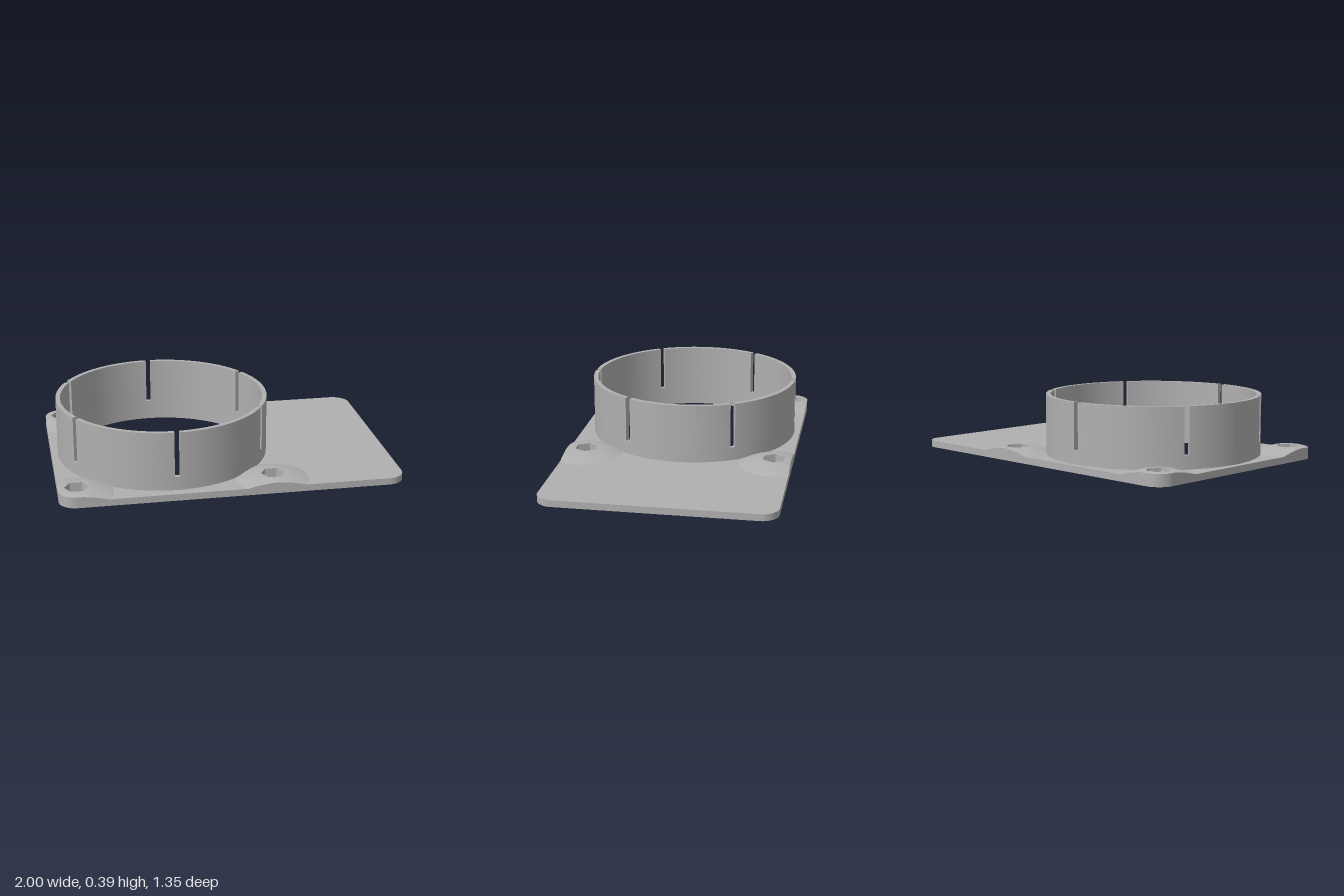
import * as THREE from 'three';
import { toCreasedNormals } from 'three/addons/utils/BufferGeometryUtils.js';

const HALF_X = 1, HALF_Z = 0.677, CORNER = 0.1;
const PLATE_TOP = 0.04, POCKET_FLOOR = 0.018, MOUND_TOP = 0.075;
const RING = { x: -0.33, y: 0.01, inner: 0.612, outer: 0.631, slotBottom: 0.12, top: 0.39 };
RING.inner = 0.604;
const SCREWS = [[-0.895, 0.575], [0.235, 0.575], [-0.895, -0.555], [0.235, -0.555]];
const HEX_R = 0.07, HOLE_R = 0.037, FLAT_R = 0.09, BASE_R = 0.21;

// Shapes are drawn in plan (y = -z) and raised from y0 to y1
function raise(shape, y0, y1, curveSegments = 48) {
  const g = new THREE.ExtrudeGeometry(shape, { depth: y1 - y0, bevelEnabled: false, curveSegments });
  g.rotateX(-Math.PI / 2).translate(0, y0, 0);
  return toCreasedNormals(g, 0.5);
}

function circle(x, y, r) {
  return new THREE.Path().absarc(x, y, r, 0, Math.PI * 2, true);
}

function hexagon(x, y, r) {
  const pts = [];
  for (let i = 0; i < 6; i++) {
    const a = -i * Math.PI / 3;
    pts.push(new THREE.Vector2(x + r * Math.cos(a), y + r * Math.sin(a)));
  }
  return new THREE.Path(pts).closePath();
}

function plateShape(screwHole) {
  const s = new THREE.Shape(), x = HALF_X - CORNER, y = HALF_Z - CORNER, q = Math.PI / 2;
  [[x, y], [-x, y], [-x, -y], [x, -y]].forEach(([cx, cy], i) =>
    s.absarc(cx, cy, CORNER, i * q, (i + 1) * q, false));
  s.closePath();
  s.holes.push(circle(RING.x, RING.y, RING.inner));
  for (const [cx, cy] of SCREWS) s.holes.push(screwHole(cx, cy));
  return s;
}

// True on the plate and outside the middle of the collar wall
function onPlate(x, y) {
  const dx = Math.max(Math.abs(x) - (HALF_X - CORNER), 0);
  const dy = Math.max(Math.abs(y) - (HALF_Z - CORNER), 0);
  return Math.hypot(dx, dy) <= CORNER && Math.hypot(x - RING.x, y - RING.y) >= 0.618;
}

// Low cone round a nut pocket, trimmed to the plate edge and the collar
function moundGeometry(cx, cy) {
  const N = 96, ROWS = 5, pos = [], idx = [];
  for (let i = 0; i <= N; i++) {
    const a = (i / N) * Math.PI * 2, c = Math.cos(a), s = Math.sin(a);
    const hex = HEX_R * Math.cos(Math.PI / 6) / Math.cos((a % (Math.PI / 3)) - Math.PI / 6);
    let lo = 0, hi = BASE_R;
    if (onPlate(cx + hi * c, cy + hi * s)) lo = hi;
    for (let k = 0; k < 24; k++) {
      const m = (lo + hi) / 2;
      if (onPlate(cx + m * c, cy + m * s)) lo = m; else hi = m;
    }
    const fall = Math.max(0, (lo - FLAT_R) / (BASE_R - FLAT_R));
    const edgeY = MOUND_TOP - fall * (MOUND_TOP - PLATE_TOP);
    const profile = [[hex, PLATE_TOP], [hex, MOUND_TOP], [Math.min(FLAT_R, lo), MOUND_TOP], [lo, edgeY], [lo, PLATE_TOP]];
    for (const [r, h] of profile) pos.push(cx + r * c, h, -(cy + r * s));
    if (i === N) continue;
    for (let j = 0; j < ROWS - 1; j++) {
      const p = i * ROWS + j, q = p + ROWS;
      idx.push(p, p + 1, q + 1, p, q + 1, q);
    }
  }
  const g = new THREE.BufferGeometry();
  g.setAttribute('position', new THREE.Float32BufferAttribute(pos, 3));
  g.setIndex(idx);
  return toCreasedNormals(g, 0.5);
}

export function createModel() {
  const model = new THREE.Group();
  model.name = 'ductAdapter';
  const grey = new THREE.MeshStandardMaterial({ color: 0xb0b0b0 });
  grey.name = 'grey plastic';
  const add = (name, geometry) => {
    const m = new THREE.Mesh(geometry, grey);
    m.name = name;
    model.add(m);
  };

  // Base plate: round screw holes below, hexagonal nut pockets above
  add('plateBottom', raise(plateShape((x, y) => circle(x, y, HOLE_R)), 0, POCKET_FLOOR));
  add('plateTop', raise(plateShape((x, y) => hexagon(x, y, HEX_R)), POCKET_FLOOR, PLATE_TOP));
  SCREWS.forEach(([x, y], i) => add('nutMound' + (i + 1), moundGeometry(x, y)));

  // Collar: closed band, then six segments divided by slots
  const band = new THREE.Shape().absarc(RING.x, RING.y, RING.outer, 0, Math.PI * 2, false);
  band.holes.push(circle(RING.x, RING.y, RING.inner));
  add('collarBand', raise(band, PLATE_TOP, RING.slotBottom, 72));
  const halfSlot = 0.015;
  const dOut = Math.asin(halfSlot / RING.outer), dIn = Math.asin(halfSlot / RING.inner);
  for (let i = 0; i < 6; i++) {
    const a = Math.PI / 6 + i * Math.PI / 3, b = a + Math.PI / 3;
    const s = new THREE.Shape();
    s.absarc(RING.x, RING.y, RING.outer, a + dOut, b - dOut, false);
    s.absarc(RING.x, RING.y, RING.inner, b - dIn, a + dIn, true);
    s.closePath();
    add('collarSegment' + (i + 1), raise(s, RING.slotBottom, RING.top, 16));
  }
  return model;
}
